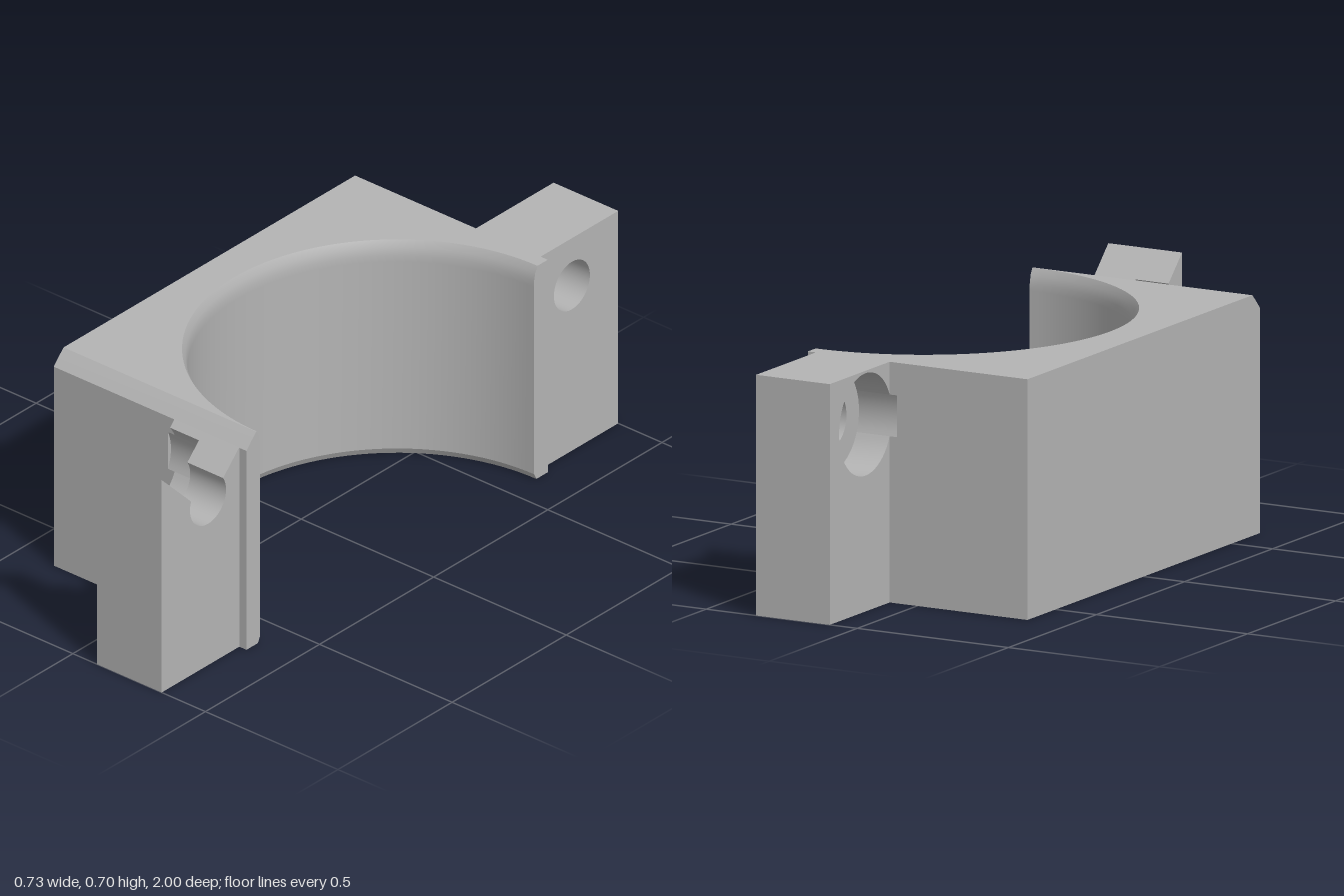
import * as THREE from 'three';
import { toCreasedNormals } from 'three/addons/utils/BufferGeometryUtils.js';

const HEIGHT = 0.705, LEFT = -0.365, RIGHT = 0.362, WALL = 0.66;
const HOLE = { z: 0.797, y: 0.548, r: 0.079, counter: 0.15 };
const V_SUM = 1.322;              // inner V face: z + y = V_SUM
const V_DIFF = 1 - HEIGHT;        // outer V face: z - y = V_DIFF
const CREASE = 0.35;

// Half block with a semicircular bore, lofted from horizontal outlines
function bodyGeometry() {
  const half = Math.sqrt(HOLE.counter ** 2 - (HOLE.z - WALL) ** 2);
  const levels = [[0, 0.61], [0.02, 0.6]];
  for (let i = 0; i <= 8; i++) levels.push([HOLE.y + half * (i / 4 - 1), 0.6]);
  levels.push([0.64, 0.6], [0.66, 0.6], [0.685, 0.605], [HEIGHT, 0.615]);

  const outline = ([y, r]) => {
    const pts = [];
    for (let i = 0; i <= 64; i++) {
      const a = (i / 64) * Math.PI;
      pts.push([RIGHT - r * Math.sin(a), r * Math.cos(a)]);
    }
    // the counterbores bite slightly into both end walls
    const d = y - HOLE.y;
    const notch = Math.abs(d) < half ? HOLE.z - Math.sqrt(HOLE.counter ** 2 - d * d) : Infinity;
    const front = Math.min(WALL, V_SUM - y);
    const end = (z) => {
      const n = Math.min(z, notch);
      return [[LEFT, z], [0.066, z], [0.066, n], [0.2, n], [0.2, z], [RIGHT, z]];
    };
    end(WALL).reverse().forEach(([x, z]) => pts.push([x, -z]));
    pts.push(...end(front));
    return pts.map(([x, z]) => new THREE.Vector3(x, y, z));
  };

  const rings = levels.map(outline), pos = [];
  const tri = (a, b, c) => {
    const area = b.clone().sub(a).cross(c.clone().sub(a)).length();
    if (area > 1e-9) pos.push(...a.toArray(), ...b.toArray(), ...c.toArray());
  };
  for (let k = 0; k + 1 < rings.length; k++) {
    const lo = rings[k], hi = rings[k + 1];
    lo.forEach((a, i) => {
      const j = (i + 1) % lo.length;
      tri(a, lo[j], hi[j]);
      tri(a, hi[j], hi[i]);
    });
  }
  const cap = (ring, up) => {
    const flat = ring.map((p) => new THREE.Vector2(p.x, -p.z));
    THREE.ShapeUtils.triangulateShape(flat, []).forEach(([a, b, c]) =>
      up ? tri(ring[a], ring[b], ring[c]) : tri(ring[a], ring[c], ring[b]));
  };
  cap(rings[0], false);
  cap(rings[rings.length - 1], true);

  const g = new THREE.BufferGeometry();
  g.setAttribute('position', new THREE.Float32BufferAttribute(pos, 3));
  return toCreasedNormals(g, CREASE);
}

// Points along a hole edge, as [distance from centre, height]
function arc(r, from, to, n = 32) {
  return Array.from({ length: n + 1 }, (_, i) => {
    const a = from + (to - from) * (i / n);
    return [HOLE.z + r * Math.cos(a), HOLE.y + r * Math.sin(a)];
  });
}

// Extrudes a side profile along x; side is 1 for the front, -1 for the back
function slab(profile, x0, x1, side, hole) {
  const toV = ([u, y]) => new THREE.Vector2(-side * u, y);
  const shape = new THREE.Shape(profile.map(toV));
  if (hole) shape.holes.push(new THREE.Path(hole.map(toV)));
  const g = new THREE.ExtrudeGeometry(shape, { depth: x1 - x0, bevelEnabled: false });
  g.rotateY(Math.PI / 2).translate(x0, 0, 0);
  return toCreasedNormals(g, CREASE);
}

export function createModel() {
  const model = new THREE.Group();
  model.name = 'halfClamp';
  const metal = new THREE.MeshStandardMaterial({ color: 0xb4b4b4 });
  metal.name = 'plainGrey';
  const add = (name, geometry, parent = model) => {
    const mesh = new THREE.Mesh(geometry, metal);
    mesh.name = name;
    parent.add(mesh);
  };

  add('boredBody', bodyGeometry());

  const X0 = 0.091, X1 = 0.2, X2 = 0.335;
  const { r, counter } = HOLE;
  // angles where a hole edge meets the V faces and the body wall
  const inner = (R) => Math.PI / 4 + Math.acos((V_SUM - HOLE.z - HOLE.y) / (R * Math.SQRT2));
  const outer = (R) => -Math.PI / 4 + Math.acos((V_DIFF - HOLE.z + HOLE.y) / (R * Math.SQRT2));
  const wall = Math.acos((WALL - HOLE.z) / counter);
  const base = [[WALL, 0], [1, 0], [1, HEIGHT]];

  // Front ear: V slot leading into a stepped hole
  const frontEar = new THREE.Group();
  frontEar.name = 'frontSlottedEar';
  model.add(frontEar);
  add('counterboreSection', slab(
    [...base, ...arc(counter, outer(counter), -wall)], X0, X1, 1), frontEar);
  add('counterboreLip', slab(
    [[WALL, V_SUM - WALL], ...arc(counter, wall, inner(counter), 4)], X0, X1, 1), frontEar);
  add('boltSection', slab(
    [...base, ...arc(r, outer(r), inner(r) - 2 * Math.PI), [WALL, V_SUM - WALL]],
    X1, X2, 1), frontEar);

  // Back ear: closed stepped hole
  const backEar = new THREE.Group();
  backEar.name = 'backEar';
  model.add(backEar);
  add('counterboreSection', slab(
    [...base, [WALL, HEIGHT], ...arc(counter, wall, -wall, 48)], X0, X1, -1), backEar);
  add('boltSection', slab(
    [...base, [WALL, HEIGHT]], X1, X2, -1, arc(r, 0, 2 * Math.PI, 40).slice(0, -1)), backEar);

  return model;
}
